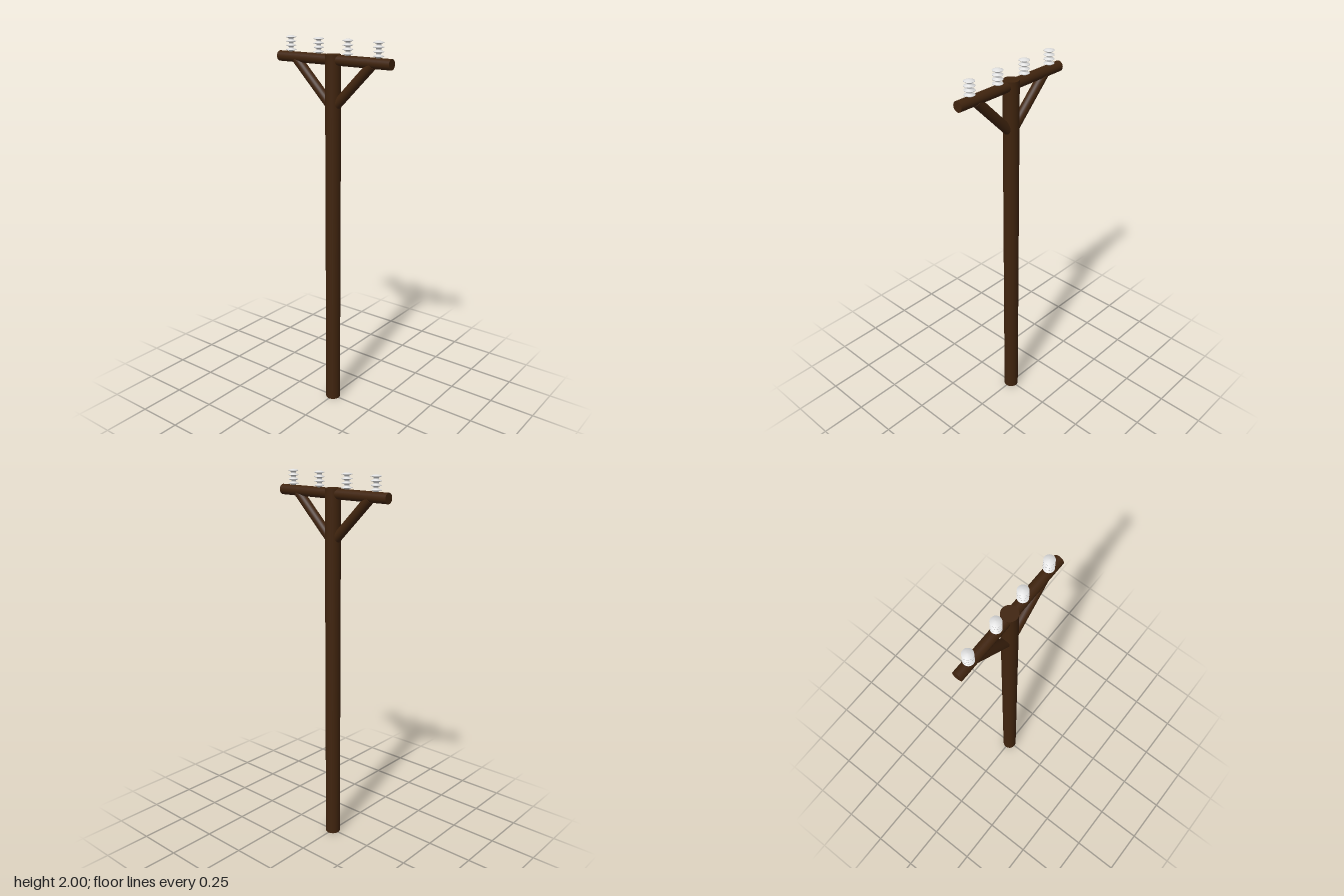
import * as THREE from 'three';

export function createModel() {
  const wood = new THREE.MeshStandardMaterial({ color: 0x40240e });
  wood.name = 'darkWood';
  const ceramic = new THREE.MeshStandardMaterial({ color: 0xe0e0e0 });
  ceramic.name = 'paleCeramic';

  const model = new THREE.Group();
  model.name = 'utilityPole';

  // Round timber running between two points in the front plane
  function addLog(name, radius, x1, y1, x2, y2) {
    const from = new THREE.Vector3(x1, y1, 0);
    const to = new THREE.Vector3(x2, y2, 0);
    const axis = to.clone().sub(from);
    const log = new THREE.Mesh(new THREE.CylinderGeometry(radius, radius, axis.length(), 24), wood);
    log.name = name;
    log.position.copy(from).add(to).multiplyScalar(0.5);
    log.quaternion.setFromUnitVectors(new THREE.Vector3(0, 1, 0), axis.normalize());
    model.add(log);
  }

  addLog('pole', 0.04, 0, 0, 0, 1.922);
  addLog('crossarm', 0.0265, -0.342, 1.895, 0.342, 1.895);
  addLog('leftBrace', 0.025, 0.01, 1.665, 0.23, 1.885);
  addLog('rightBrace', 0.025, -0.01, 1.665, -0.23, 1.885);

  // Ribbed insulator: narrow core with four sharp-edged sheds
  const core = 0.012;
  const profile = [new THREE.Vector2(0, 0), new THREE.Vector2(core, 0)];
  for (let i = 0; i < 4; i++) {
    const y = 0.009 + i * 0.021;
    profile.push(new THREE.Vector2(core, y - 0.006));
    profile.push(new THREE.Vector2(0.0265, y - 0.001));
    profile.push(new THREE.Vector2(0.0265, y + 0.001));
    profile.push(new THREE.Vector2(core, y + 0.007));
  }
  profile.push(new THREE.Vector2(0, 0.08));
  const insulatorGeometry = new THREE.LatheGeometry(profile, 20);

  for (const x of [-0.267, -0.089, 0.089, 0.267]) {
    const insulator = new THREE.Mesh(insulatorGeometry, ceramic);
    insulator.name = 'insulator';
    insulator.position.set(x, 1.92, 0);
    model.add(insulator);
  }

  return model;
}
